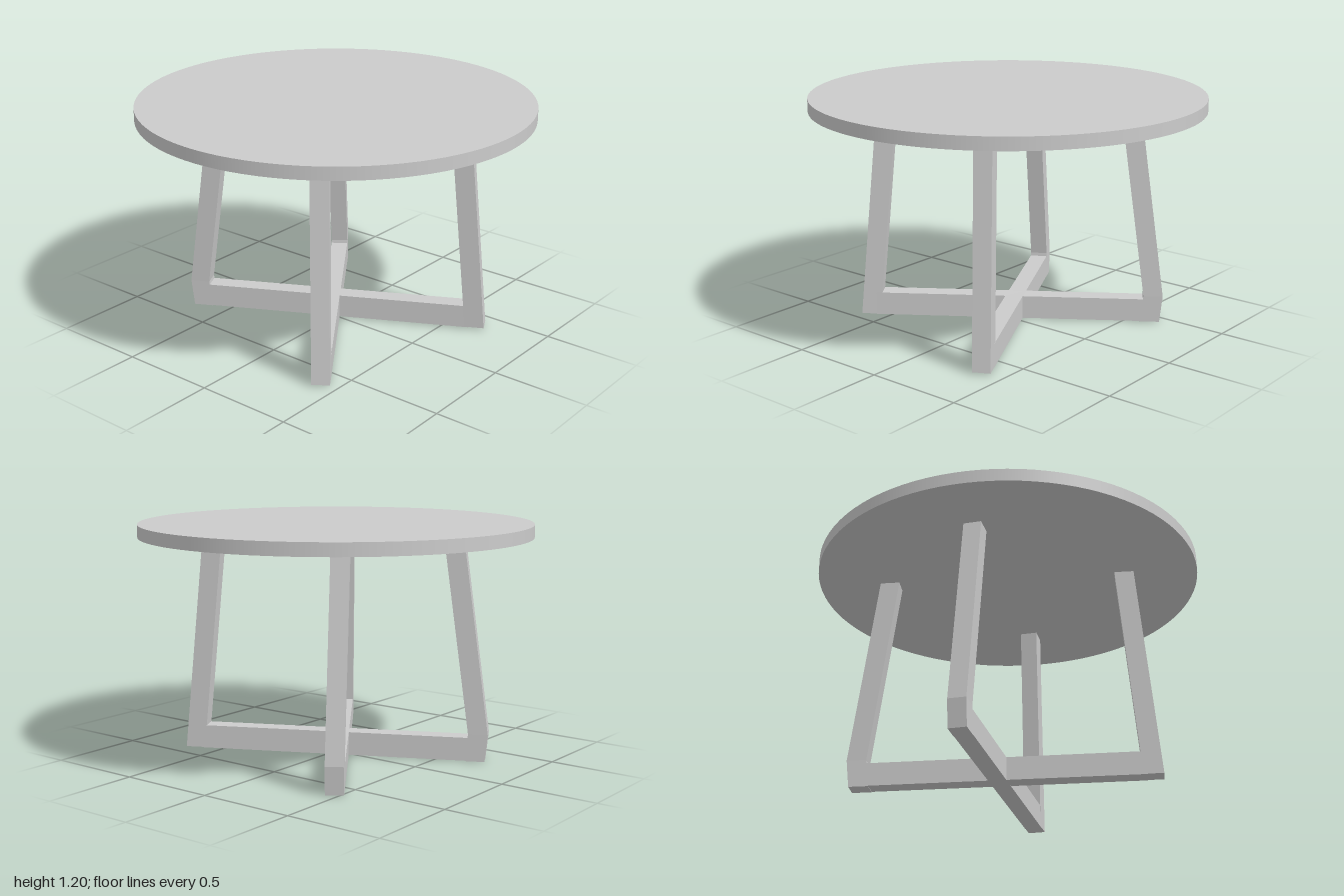
import * as THREE from 'three';

const grey = new THREE.MeshStandardMaterial({ color: 0xcccccc, side: THREE.DoubleSide });
const flatGrey = new THREE.MeshStandardMaterial({ color: 0xcccccc, flatShading: true });

const DEPTH = 0.1, THICK = 0.09; // section of the legs

function add(parent, geometry, material, name) {
  const mesh = new THREE.Mesh(geometry, material);
  mesh.name = name;
  parent.add(mesh);
  return mesh;
}

// Square post through a list of centre points [x, y, z], with level ends
function post(points) {
  const n = points.length - 1;
  const g = new THREE.BoxGeometry(DEPTH, n, THICK, 1, n, 1);
  const p = g.attributes.position;
  for (let i = 0; i < p.count; i++) {
    const [x, y, z] = points[Math.round(p.getY(i) + n / 2)];
    p.setXYZ(i, p.getX(i) + x, y, p.getZ(i) + z);
  }
  g.computeVertexNormals();
  return g;
}

// U-shaped frame: floor bar and two legs leaning inward
function frame(name, x, z, angle) {
  const group = new THREE.Group();
  group.name = name;
  add(group, post([[-0.74, 0.01, 0], [-0.635, 1.14, -0.01]]), flatGrey, 'nearLeg');
  add(group, post([[0.725, 0, 0], [0.74, 0.14, 0], [0.602, 1.14, -0.022]]), flatGrey, 'farLeg');
  const bar = add(group, new THREE.BoxGeometry(1.42, 0.12, THICK), flatGrey, 'floorBar');
  bar.position.y = 0.065;
  bar.rotation.z = -0.004;
  group.position.set(x, 0, z);
  group.rotation.y = angle;
  return group;
}

export function createModel() {
  const model = new THREE.Group();
  model.name = 'roundTable';

  // Round top
  const top = add(model, new THREE.CylinderGeometry(1, 1, 0.065, 96), grey, 'tableTop');
  top.position.y = 1.1675;

  // Two crossing frames
  model.add(frame('wideFrame', 0, -0.03, 0.616));
  model.add(frame('deepFrame', 0.03, -0.02, 2.047));
  return model;
}
